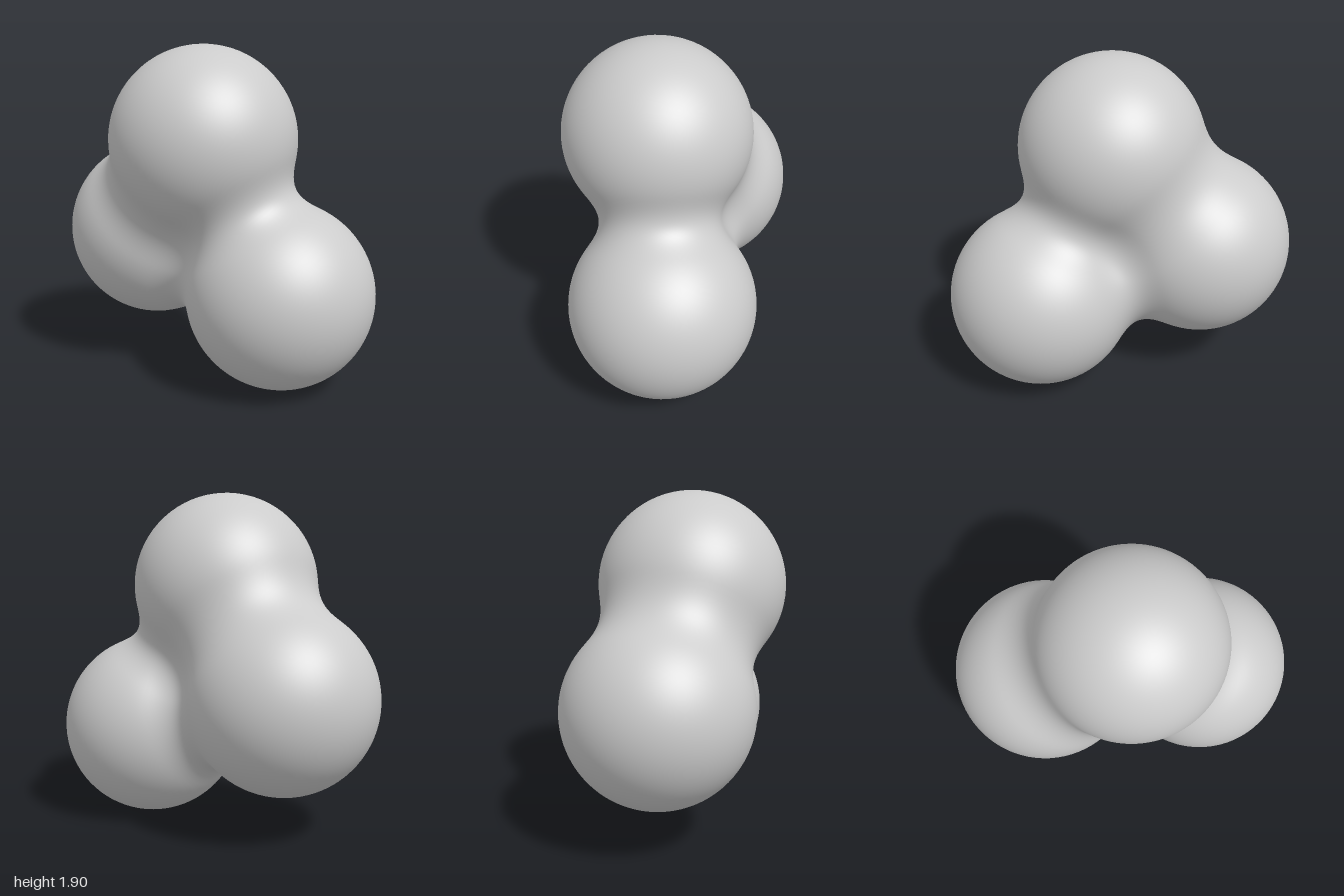
import * as THREE from 'three';

// Three balls that melt into each other
const RADIUS = 0.53;
const REACH2 = 0.62; // squared distance at which a ball stops attracting
const BALLS = [
  new THREE.Vector3(-0.09, 1.375, 0.01), // top
  new THREE.Vector3(0.01, 0.53, 0.47), // front
  new THREE.Vector3(0.085, 0.775, -0.47), // back
];
const CORE = new THREE.Vector3(0, 0.86, 0.05); // point shared by all three balls

const falloff = (d2) => Math.max(0, 1 - d2 / REACH2) ** 3;
const LEVEL = falloff(RADIUS * RADIUS);
const field = (p) => BALLS.reduce((sum, b) => sum + falloff(p.distanceToSquared(b)), 0);

// Outward normal: the negative gradient of the field
function fieldNormal(p) {
  const n = new THREE.Vector3();
  for (const b of BALLS) {
    const w = Math.max(0, 1 - p.distanceToSquared(b) / REACH2) ** 2;
    n.addScaledVector(p.clone().sub(b), w);
  }
  return n.normalize();
}

// Walk out from the core until the field drops below the level, then refine
function surfacePoint(dir) {
  const at = (t) => CORE.clone().addScaledVector(dir, t);
  let far = 0.1;
  while (far < 2 && field(at(far)) > LEVEL) far += 0.02;
  let near = far - 0.02;
  for (let i = 0; i < 16; i++) {
    const mid = (near + far) / 2;
    if (field(at(mid)) > LEVEL) near = mid;
    else far = mid;
  }
  return at(near);
}

export function createModel() {
  const geometry = new THREE.IcosahedronGeometry(1, 28);
  const pos = geometry.attributes.position;
  const normal = geometry.attributes.normal;
  const dir = new THREE.Vector3();
  for (let i = 0; i < pos.count; i++) {
    dir.fromBufferAttribute(pos, i).normalize();
    const p = surfacePoint(dir);
    const n = fieldNormal(p);
    pos.setXYZ(i, p.x, p.y, p.z);
    normal.setXYZ(i, n.x, n.y, n.z);
  }

  const body = new THREE.Mesh(geometry, new THREE.MeshStandardMaterial({ color: 0xcccccc }));
  body.name = 'mergedBalls';
  const group = new THREE.Group();
  group.name = 'blob';
  group.add(body);
  return group;
}
